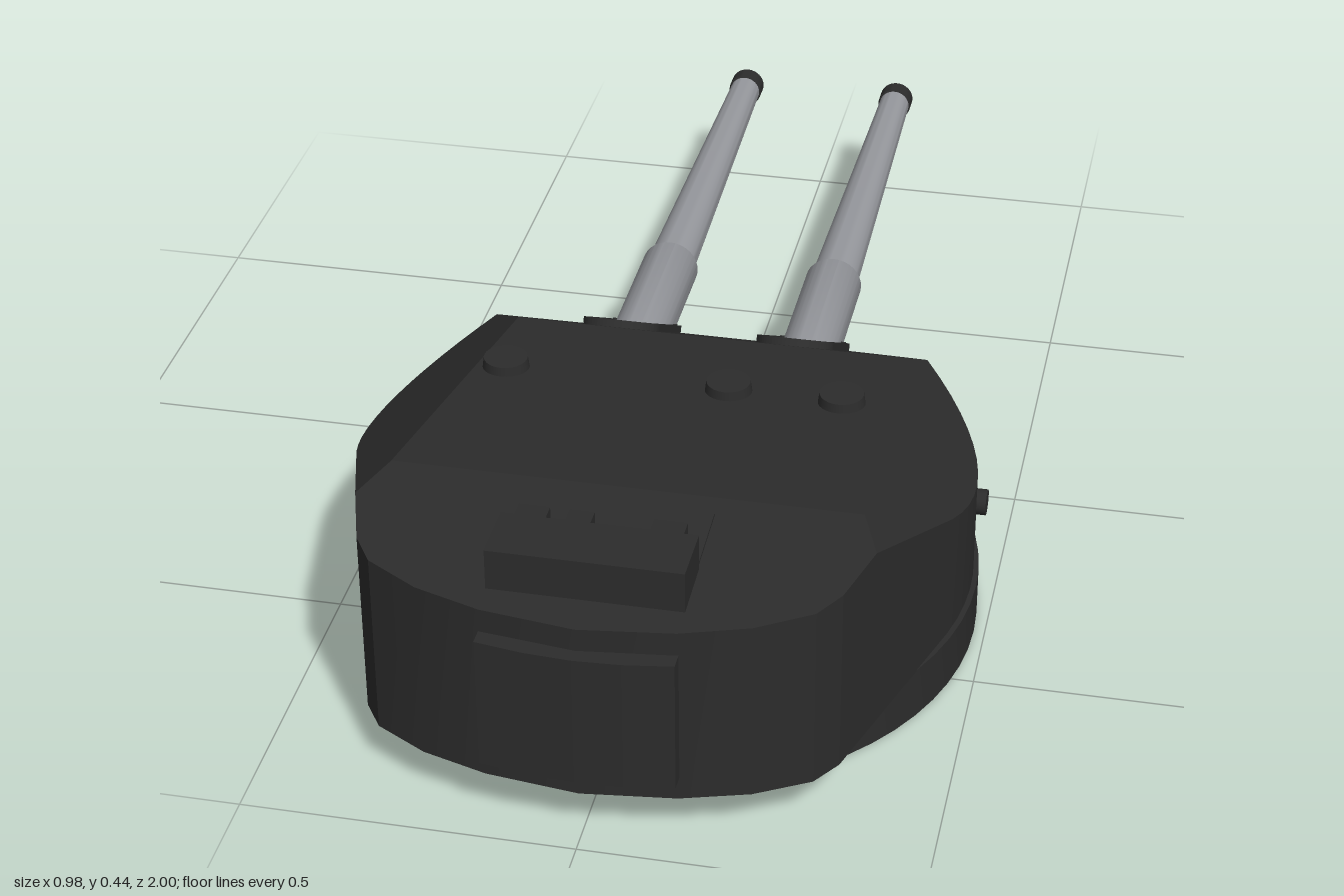
import * as THREE from 'three';
import { toCreasedNormals } from 'three/addons/utils/BufferGeometryUtils.js';

export function createModel() {
  const model = new THREE.Group();
  const armour = new THREE.MeshStandardMaterial({ color: 0x2c2c2c, side: THREE.DoubleSide });
  armour.name = 'dark armour';
  const steel = new THREE.MeshStandardMaterial({ color: 0x96989d, side: THREE.DoubleSide });
  steel.name = 'grey steel';

  function add(name, geometry, material, x = 0, y = 0, z = 0) {
    const mesh = new THREE.Mesh(geometry, material);
    mesh.name = name;
    mesh.position.set(x, y, z);
    model.add(mesh);
    return mesh;
  }
  const box = (name, w, h, d, x, y, z) => add(name, new THREE.BoxGeometry(w, h, d), armour, x, y, z);
  const lathe = (pts, segs) =>
    toCreasedNormals(new THREE.LatheGeometry(pts.map(p => new THREE.Vector2(...p)), segs), 0.6);

  // Rotating base ring, open in the middle
  add('baseRing', lathe([[0.455, 0], [0.483, 0], [0.483, 0.085], [0.455, 0.085], [0.455, 0]], 64), armour, 0, 0, 0.372);

  // Arched slot outline, flat at the bottom and round at the top
  function arch(path, cx, half, bottom, top) {
    path.moveTo(cx - half, bottom);
    path.lineTo(cx + half, bottom);
    path.lineTo(cx + half, top - half);
    path.absarc(cx, top - half, half, 0, Math.PI, false);
    path.lineTo(cx - half, bottom);
    return path;
  }

  // Gunhouse: a footprint under five roof planes, in plan coordinates (x, v = -z)
  const bevel = side => (x, z) => 0.5166 - 0.684 * side * x + 0.1785 * z;
  const slope = 0.615;
  const glacis = (x, z) => 0.35 + slope * (z - 0.16);
  const rearRoof = (x, z) => 0.395 - 0.079 * (z - 0.66);
  const planes = [(x, z) => 0.395 + 0.098 * (z - 0.66), rearRoof, glacis, bevel(1), bevel(-1)];
  const names = ['mainRoof', 'rearRoof', 'frontSlope', 'leftBevel', 'rightBevel'];

  const footprint = [];
  const A = 1.848, n = 44;
  for (let i = 0; i <= n; i++) {
    const a = A - (2 * A * i) / n;
    footprint.push([0.475 * Math.sin(a), -(0.37 - 0.475 * Math.cos(a))]);
  }
  const rear = [[0.35, 0.84], [0.32, 0.885], [0.24, 0.93], [0.14, 0.96]];
  rear.forEach(([x, z]) => footprint.push([-x, -z]));
  footprint.push([0, -0.977]);
  rear.reverse().forEach(([x, z]) => footprint.push([x, -z]));

  function clip(poly, f) {
    const out = [];
    poly.forEach((p, i) => {
      const q = poly[(i + 1) % poly.length], fp = f(p), fq = f(q);
      if (fp >= 0) out.push(p);
      if (fp * fq < 0) {
        const t = fp / (fp - fq);
        out.push([p[0] + t * (q[0] - p[0]), p[1] + t * (q[1] - p[1])]);
      }
    });
    return out;
  }

  const gunX = 0.142;
  const wall = [];
  planes.forEach((plane, i) => {
    const h = p => plane(p[0], -p[1]);
    let poly = footprint;
    planes.forEach((other, j) => {
      if (j !== i) poly = clip(poly, p => other(p[0], -p[1]) - h(p));
    });
    const shape = new THREE.Shape(poly.map(p => new THREE.Vector2(...p)));
    // Gun slots through the front slope
    if (plane === glacis) {
      for (const s of [-1, 1]) shape.holes.push(arch(new THREE.Path(), s * gunX, 0.055, -0.105, 0.06));
      shape.holes.forEach(hole => {
        hole.curves.length = 0;
      });
      shape.holes = [-1, 1].map(s => {
        const pts = [new THREE.Vector2(s * gunX - 0.055, 0.06), new THREE.Vector2(s * gunX + 0.055, 0.06)];
        for (let k = 0; k <= 12; k++) {
          const a = -(Math.PI * k) / 12;
          pts.push(new THREE.Vector2(s * gunX + 0.055 * Math.cos(a), -0.055 + 0.055 * Math.sin(a)));
        }
        return new THREE.Path(pts);
      });
    }
    const g = new THREE.ShapeGeometry(shape).toNonIndexed();
    const pos = g.attributes.position;
    for (let k = 0; k < pos.count; k++) {
      const p = [pos.getX(k), pos.getY(k)];
      pos.setXYZ(k, p[0], h(p), -p[1]);
    }
    g.computeVertexNormals();
    add(names[i], g, armour);
    // Drop a wall from every outer edge, skipping creases between planes
    poly.forEach((a, k) => {
      const b = poly[(k + 1) % poly.length];
      const m = [(a[0] + b[0]) / 2, (a[1] + b[1]) / 2];
      if (planes.some((o, j) => j !== i && Math.abs(o(m[0], -m[1]) - h(m)) < 1e-6)) return;
      const a0 = [a[0], 0.083, -a[1]], b0 = [b[0], 0.083, -b[1]];
      const a1 = [a[0], h(a), -a[1]], b1 = [b[0], h(b), -b[1]];
      wall.push(...a0, ...b0, ...b1, ...a0, ...b1, ...a1);
    });
  });
  const wallGeo = new THREE.BufferGeometry();
  wallGeo.setAttribute('position', new THREE.Float32BufferAttribute(wall, 3));
  add('sideWall', toCreasedNormals(wallGeo, 0.25), armour);

  // Gun ports and guns
  const theta = Math.atan(slope);
  for (const s of [-1, 1]) {
    const x = s * gunX;
    const rim = arch(new THREE.Shape(), 0, 0.062, -0.3, -0.045);
    rim.holes.push(arch(new THREE.Path(), 0, 0.05, -0.29, -0.06));
    const hood = add('gunPortHood', new THREE.ExtrudeGeometry(rim, { depth: 0.05, bevelEnabled: false, curveSegments: 16 }),
      armour, x, 0.35 + 0.012 * Math.cos(theta), 0.16 - 0.012 * Math.sin(theta));
    hood.rotation.x = Math.PI / 2 - theta;
    const floor = add('gunPortRecess', new THREE.ShapeGeometry(arch(new THREE.Shape(), 0, 0.058, -0.28, -0.05)),
      armour, x, 0.35 - 0.038 * Math.cos(theta), 0.16 + 0.038 * Math.sin(theta));
    floor.rotation.x = Math.PI / 2 - theta;
    box('gunPortLip', 0.11, 0.07, 0.05, x, 0.168, -0.08);

    // Sleeve with a domed breech, tapered barrel, hollow muzzle
    const sleeve = [[0, -0.2], [0.025, -0.193], [0.042, -0.175], [0.048, -0.15], [0.048, 0.302], [0.044, 0.308], [0.038, 0.308]];
    const parts = [
      ['gunSleeve', sleeve, steel],
      ['gunBarrel', [[0.04, 0.3], [0.027, 0.975]], steel],
      ['muzzleBand', [[0.026, 0.97], [0.03, 0.972], [0.03, 1], [0.017, 1], [0.017, 0.94], [0, 0.94]], armour],
    ];
    for (const [name, pts, mat] of parts) {
      add(name, lathe(pts, 32).rotateX(-Math.PI / 2), mat, x, 0.195, 0);
    }

    // Side sight
    add('sideSight', new THREE.CylinderGeometry(0.02, 0.02, 0.06, 20).rotateZ(Math.PI / 2), armour, s * 0.458, 0.207, 0.32);
  }

  // Trunnion bar inside
  add('trunnionBar', new THREE.CylinderGeometry(0.018, 0.018, 0.6, 16).rotateZ(Math.PI / 2), armour, 0, 0.195, 0.1);

  // Roof hatches
  for (const x of [-0.265, 0.085, 0.26]) {
    add('roofHatch', new THREE.CylinderGeometry(0.034, 0.038, 0.03, 24), armour, x, 0.365, 0.325);
  }

  // Rear roof locker with tabs and a sloping plate in front of it
  box('roofLocker', 0.284, 0.08, 0.095, 0, 0.399, 0.867);
  for (const [x, w] of [[-0.102, 0.045], [-0.033, 0.036], [0.095, 0.048]]) {
    box('lockerTab', w, 0.05, 0.04, x, 0.408, 0.805);
  }
  const plate = box('roofPlate', 0.28, 0.009, 0.12, 0, rearRoof(0, 0.76), 0.76);
  plate.rotation.x = Math.atan(0.079);

  // Rear door, following the curve of the back wall
  const door = new THREE.Shape([[-0.142, -0.9], [-0.142, -0.985], [-0.07, -0.996], [0, -1], [0.07, -0.996], [0.142, -0.985], [0.142, -0.9]]
    .map(p => new THREE.Vector2(...p)));
  add('rearDoor', new THREE.ExtrudeGeometry(door, { depth: 0.213, bevelEnabled: false }).rotateX(-Math.PI / 2), armour, 0, 0.121, 0);

  return model;
}
